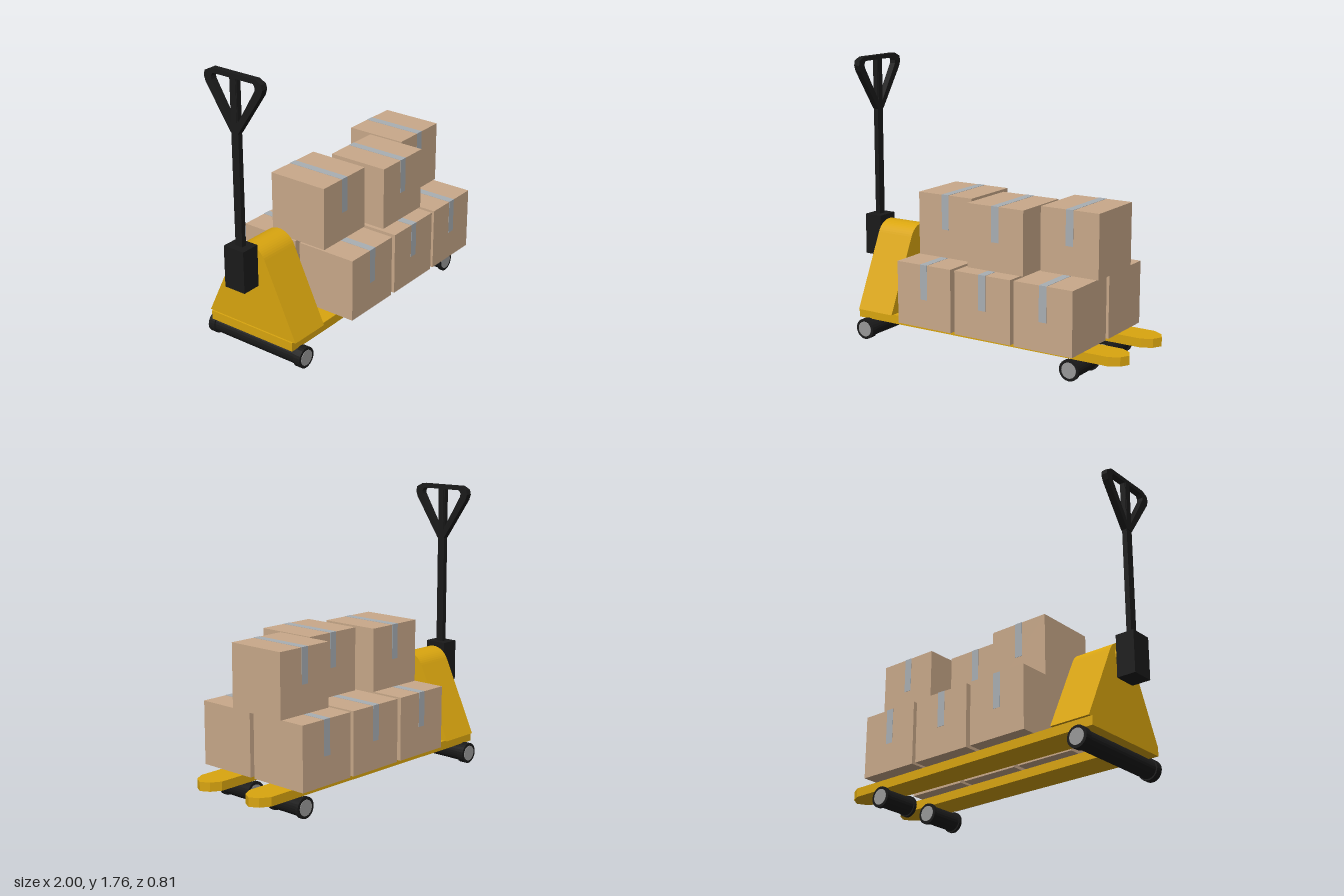
import * as THREE from 'three';

const mat = (color) => new THREE.MeshStandardMaterial({ color, flatShading: true });
const yellow = mat(0xd9a50f);
const black = mat(0x1a1a1a);
const grey = mat(0x999999);
const cardboard = mat(0xc9a98a);
const tapeGrey = mat(0xa9afb4);

function add(parent, name, geometry, material, x = 0, y = 0, z = 0) {
  const mesh = new THREE.Mesh(geometry, material);
  mesh.name = name;
  mesh.position.set(x, y, z);
  parent.add(mesh);
  return mesh;
}

const box = (w, h, d) => new THREE.BoxGeometry(w, h, d);
const rod = (r, len, n = 24) => new THREE.CylinderGeometry(r, r, len, n).rotateX(Math.PI / 2);
const outline = (pts) => new THREE.Shape(pts.map(([a, b]) => new THREE.Vector2(a, b)));
const mirrorX = (pts) => pts.map(([a, b]) => [-a, b]).reverse();

// Extrude a cross-section drawn in the z-y plane along +x
const extrudeX = (shape, depth) =>
  new THREE.ExtrudeGeometry(shape, { depth, bevelEnabled: false }).rotateY(Math.PI / 2);

// Fork plate: rear plate and two tapering prongs with blunt round tips
function forkPlate() {
  const prong = [
    [-0.605, 0.099], [0.6, 0.112], [0.91, 0.112], [0.97, 0.147], [1.0, 0.202],
    [0.97, 0.257], [0.91, 0.292], [0.6, 0.294], [-0.605, 0.307], [-0.875, 0.307],
  ];
  const other = prong.map(([x, z]) => [x, -z]).reverse();
  return new THREE.ExtrudeGeometry(outline([...prong, ...other]), { depth: 0.055, bevelEnabled: false })
    .rotateX(-Math.PI / 2);
}

// Housing: sloping sides meeting in a rounded top
function housing() {
  const s = new THREE.Shape();
  s.moveTo(-0.325, 0.18);
  s.lineTo(0.325, 0.18);
  s.absarc(0, 0.59, 0.12, 0.43, Math.PI - 0.43, false);
  s.closePath();
  return new THREE.ExtrudeGeometry(s, { depth: 0.26, bevelEnabled: false, curveSegments: 10 })
    .rotateY(Math.PI / 2);
}

// Handle: rounded triangular loop with an opening each side of the pole
function handle() {
  const half = [[0.025, 1.415], [0.195, 1.67], [0.207, 1.705], [0.2, 1.735], [0.157, 1.757]];
  const hole = [[0.02, 1.47], [0.152, 1.69], [0.155, 1.71], [0.143, 1.73], [0.02, 1.73]];
  const s = outline([...half, ...mirrorX(half)]);
  for (const h of [hole, mirrorX(hole)]) {
    s.holes.push(new THREE.Path(h.map(([a, b]) => new THREE.Vector2(a, b))));
  }
  return extrudeX(s, 0.04);
}

// Roller: core, raised tyre at each end, grey hub discs
function roller(name, length, tyre) {
  const g = new THREE.Group();
  g.name = name;
  add(g, 'rollerCore', rod(0.056, length - 0.01), black);
  for (const s of [-1, 1]) {
    add(g, 'tyre', rod(0.065, tyre), black, 0, 0, s * (length - tyre) / 2);
    add(g, 'hub', rod(0.048, 0.006), grey, 0, 0, s * length / 2);
  }
  return g;
}

// Cardboard box with tape over the top and partway down both sides
function carton(x, y, z) {
  const size = 0.39, t = 0.003, drop = 0.215;
  const g = new THREE.Group();
  g.name = 'carton';
  g.position.set(x, y + size / 2, z);
  add(g, 'cartonBody', box(size, size, size), cardboard);
  add(g, 'topTape', box(0.05, t, size + t), tapeGrey, 0, size / 2, 0);
  for (const s of [-1, 1]) {
    add(g, 'sideTape', box(0.05, drop, t), tapeGrey, 0, (size - drop) / 2, s * size / 2);
  }
  return g;
}

export function createModel() {
  const model = new THREE.Group();
  model.name = 'loadedPalletTruck';

  const truck = new THREE.Group();
  truck.name = 'palletTruck';
  truck.position.z = -0.0225;
  model.add(truck);

  add(truck, 'forks', forkPlate(), yellow, 0, 0.125, 0);
  add(truck, 'housing', housing(), yellow, -0.865, 0, 0);

  // Steering head, pole and handle
  add(truck, 'steeringPivot', new THREE.CylinderGeometry(0.055, 0.055, 0.1, 16).rotateZ(Math.PI / 2),
    yellow, -0.89, 0.627, -0.01);
  add(truck, 'steeringBlock', box(0.12, 0.26, 0.144), black, -0.94, 0.605, 0);
  add(truck, 'pole', box(0.032, 1.03, 0.05), black, -0.938, 1.235, 0);
  add(truck, 'handle', handle(), black, -0.957, 0, 0);

  // Wheels
  const rear = roller('rearRoller', 0.7, 0.045);
  rear.position.set(-0.8, 0.065, 0);
  truck.add(rear);
  for (const s of [-1, 1]) {
    const front = roller('forkRoller', 0.245, 0.02);
    front.position.set(0.675, 0.065, s * 0.203);
    truck.add(front);
  }

  // Lower layer of six cartons
  for (const x of [-0.275, 0.145, 0.56]) {
    for (const s of [-1, 1]) model.add(carton(x, 0.183, s * 0.211));
  }
  // Upper layer, unevenly stacked
  for (const [x, z] of [[-0.265, -0.002], [0.168, 0.108], [0.575, -0.055]]) {
    model.add(carton(x, 0.575, z));
  }
  return model;
}
